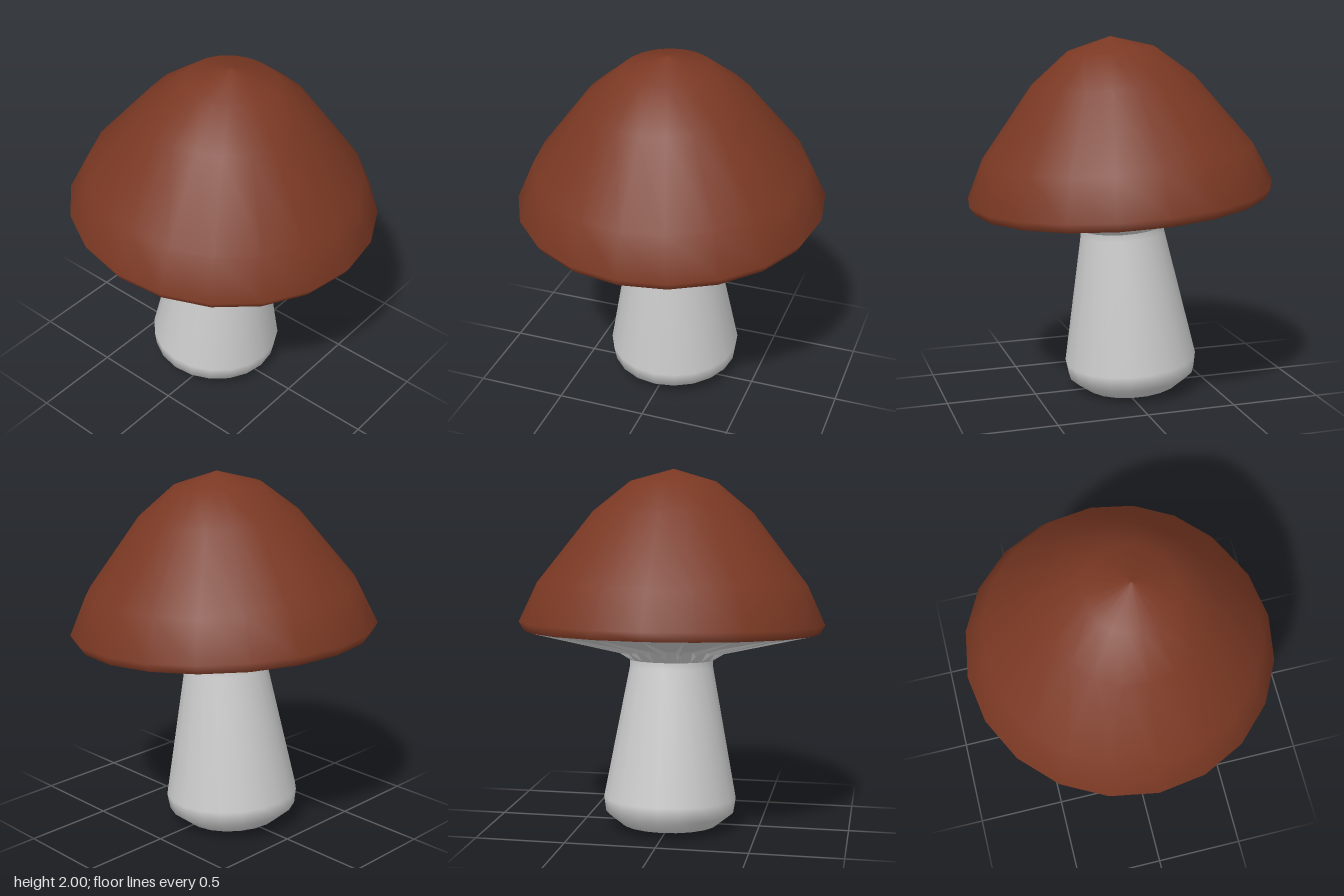
import * as THREE from 'three';

const SIDES = 20;

// Smooth turned part from [radius, height] pairs, listed bottom to top
function turned(name, profile, color) {
  const points = profile.map(([r, y]) => new THREE.Vector2(r, y));
  const mesh = new THREE.Mesh(
    new THREE.LatheGeometry(points, SIDES),
    new THREE.MeshStandardMaterial({ color })
  );
  mesh.name = name;
  return mesh;
}

// Underside of the cap: a narrow ridge at every corner of the rim, hollow panels between
function createGills() {
  const rings = [[0.235, 0.925, 0], [0.3, 0.965, 0.025], [0.82, 1.085, 0]];
  const geometry = new THREE.LatheGeometry(
    rings.map(([r, y]) => new THREE.Vector2(r, y)), SIDES * 3
  );
  const position = geometry.attributes.position;
  const step = (Math.PI * 2) / SIDES;
  const offsets = [0, 0.2, 0.8];
  for (let i = 0; i < position.count; i++) {
    const column = Math.floor(i / rings.length);
    const [r, y, hollow] = rings[i % rings.length];
    const part = column % 3;
    const local = offsets[part] * step;
    const angle = Math.floor(column / 3) * step + local;
    // Pull points between corners onto the straight side of the rim
    const radius = r * Math.cos(step / 2) / Math.cos(local - step / 2);
    position.setXYZ(i, radius * Math.sin(angle), y + (part ? hollow : 0), radius * Math.cos(angle));
  }
  const mesh = new THREE.Mesh(
    geometry,
    new THREE.MeshStandardMaterial({ color: 0xcccccc, flatShading: true })
  );
  mesh.name = 'gills';
  return mesh;
}

export function createModel() {
  const mushroom = new THREE.Group();
  mushroom.name = 'mushroom';

  // Domed cap with a small turned-in rim
  const cap = turned('cap', [
    [0.82, 1.085], [0.85, 1.135], [0.75, 1.352], [0.445, 1.745], [0.24, 1.912], [0, 1.982],
  ], 0x7a3823);

  // Tapered stem with a rounded foot
  const stem = turned('stem', [
    [0.272, 0], [0.36, 0.07], [0.373, 0.155], [0.235, 0.885], [0.235, 0.925],
  ], 0xcccccc);

  // Flat cut under the foot
  const base = new THREE.Mesh(
    new THREE.CircleGeometry(0.272, SIDES),
    new THREE.MeshStandardMaterial({ color: 0xcccccc })
  );
  base.name = 'stemBase';
  base.rotation.x = Math.PI / 2;

  // The whole mushroom leans slightly forward
  const leaning = new THREE.Group();
  leaning.name = 'leaningMushroom';
  leaning.add(cap, createGills(), stem, base);
  leaning.rotation.x = 0.065;
  leaning.position.set(0, 0.02, -0.072);
  mushroom.add(leaning);
  return mushroom;
}
